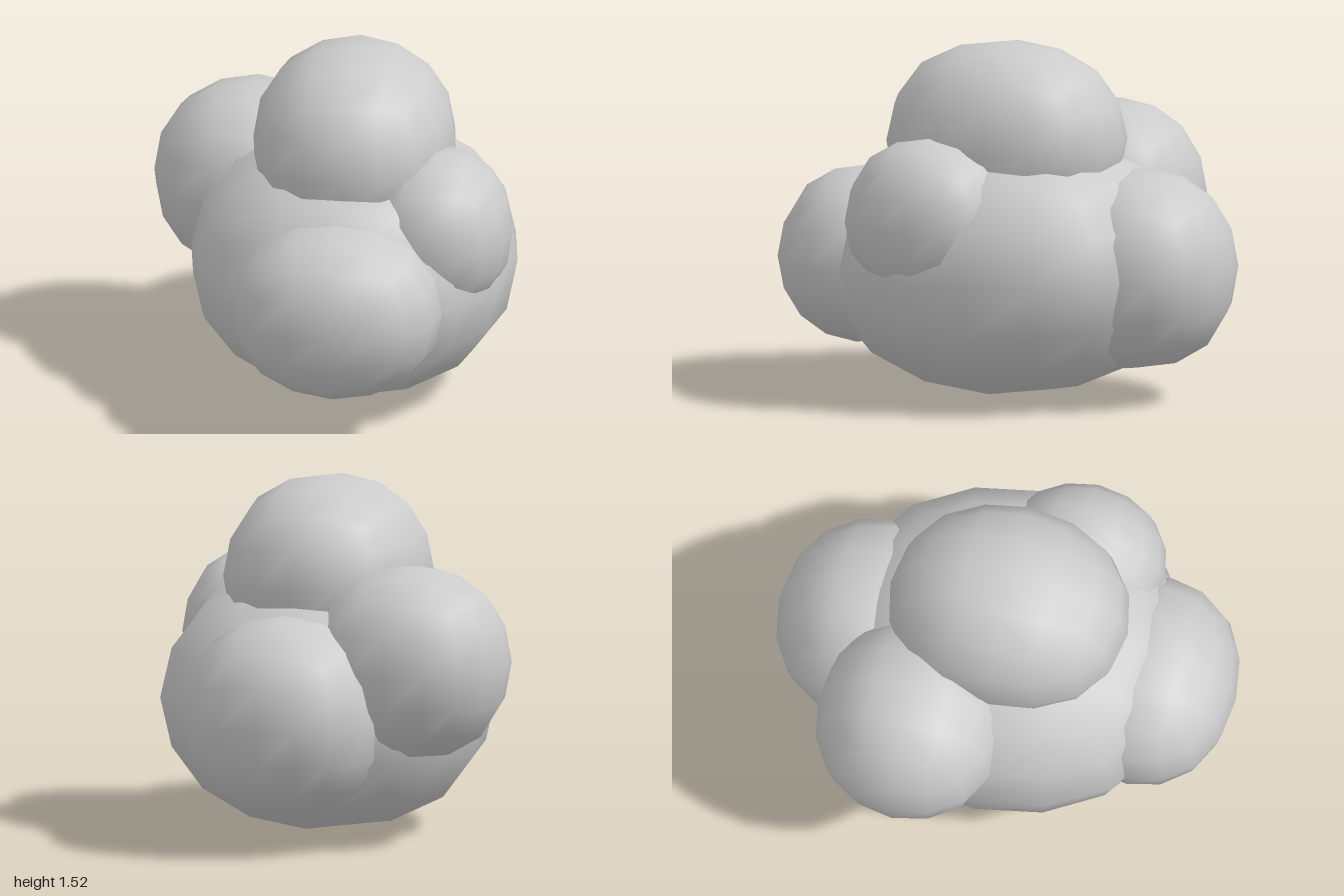
import * as THREE from 'three';
import { mergeVertices } from 'three/addons/utils/BufferGeometryUtils.js';

// Rounded-cube profile: grid position (0, 0.5 or 1 per axis) -> smoothed coordinate.
// Key: own coordinate, then the other two in descending order.
const ROUND = {
  '1,0,0': 1, '1,0.5,0': 0.933, '1,1,0': 0.732,
  '1,0.5,0.5': 0.87, '1,1,0.5': 0.682, '1,1,1': 0.58,
  '0.5,1,0': 0.399, '0.5,1,0.5': 0.372, '0.5,1,1': 0.344,
};

function roundCoord(own, b, c) {
  const [o, p, q] = [own, b, c].map(Math.abs);
  const key = [o, Math.max(p, q), Math.min(p, q)].join(',');
  return o === 0 ? 0 : Math.sign(own) * ROUND[key];
}

// Soft blob: a 4x4-per-side cube rounded like a twice-subdivided box
function blobGeometry(rx, ry, rz) {
  let geo = new THREE.BoxGeometry(2, 2, 2, 4, 4, 4);
  geo.deleteAttribute('normal');
  geo.deleteAttribute('uv');
  geo = mergeVertices(geo);
  const pos = geo.attributes.position;
  for (let i = 0; i < pos.count; i++) {
    const x = pos.getX(i), y = pos.getY(i), z = pos.getZ(i);
    pos.setXYZ(i, rx * roundCoord(x, y, z), ry * roundCoord(y, x, z), rz * roundCoord(z, x, y));
  }
  geo.computeVertexNormals();
  return geo;
}

export function createModel() {
  const group = new THREE.Group();
  group.name = 'puffyCluster';
  const material = new THREE.MeshStandardMaterial({ color: 0xcccccc });

  // name, centre, half sizes
  const lobes = [
    ['mainBody', [0.093, 0.575, 0.005], [0.7, 0.572, 0.78]],
    ['topLobe', [0.094, 1.095, 0.007], [0.434, 0.427, 0.519]],
    ['frontLobe', [0.093, 0.57, 0.62], [0.453, 0.38, 0.378]],
    ['backLobe', [0.097, 0.57, -0.575], [0.432, 0.432, 0.425]],
    ['rightLobe', [-0.378, 0.785, -0.307], [0.427, 0.417, 0.41]],
    ['leftLobe', [0.478, 0.8, 0.238], [0.322, 0.355, 0.36]],
  ];
  for (const [name, centre, size] of lobes) {
    const mesh = new THREE.Mesh(blobGeometry(...size), material);
    mesh.name = name;
    mesh.position.set(...centre);
    group.add(mesh);
  }
  return group;
}
